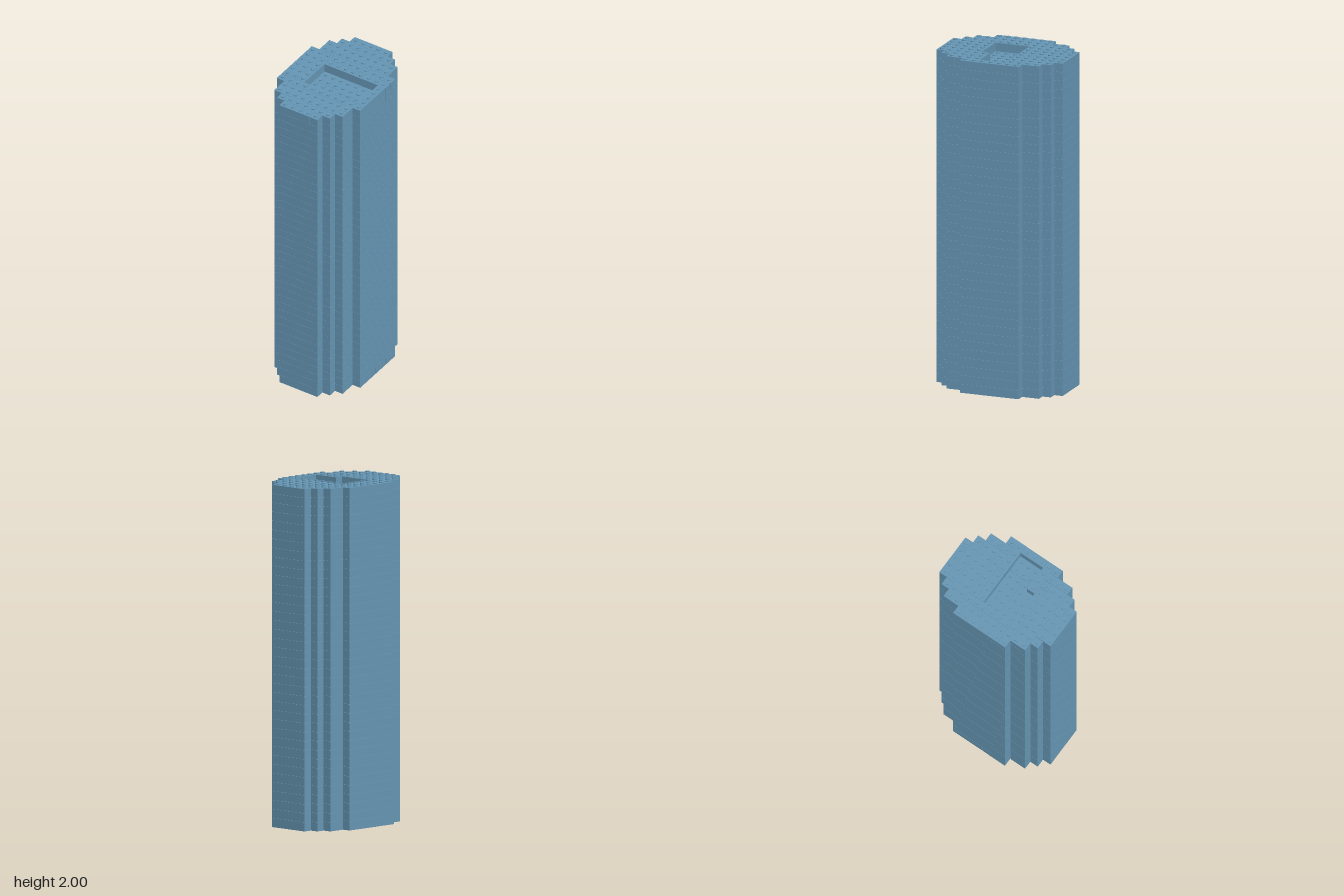
import * as THREE from 'three';
import { mergeGeometries } from 'three/addons/utils/BufferGeometryUtils.js';

const P = 0.0525;        // stud pitch
const STUD_H = 0.006;
const LAYERS = 38;
const H = (2 - STUD_H) / LAYERS;
const GAP = 0.001;       // hairline joint between bricks
const COLS = 11, ROWS = 15;

// A brick covers columns c0..c1 and rows r0..r1 of one layer.
function brick([c0, c1, r0, r1], layer) {
  const bottom = layer === 0 ? 0 : GAP;
  const h = H - bottom;
  const g = new THREE.BoxGeometry((c1 - c0) * P - GAP, h, (r1 - r0) * P - GAP);
  return g.translate(((c0 + c1) / 2 - COLS / 2) * P, layer * H + bottom + h / 2,
    ((r0 + r1) / 2 - ROWS / 2) * P);
}

// One stud on every cell of a brick.
function studs([c0, c1, r0, r1], layer) {
  const out = [];
  for (let c = c0; c < c1; c++) {
    for (let r = r0; r < r1; r++) {
      const g = new THREE.CylinderGeometry(0.012, 0.012, STUD_H, 16);
      out.push(g.translate((c + 0.5 - COLS / 2) * P, (layer + 1) * H + STUD_H / 2,
        (r + 0.5 - ROWS / 2) * P));
    }
  }
  return out;
}

// Stepped plan shared by all layers
const endBands = [
  [3, 8, 0, 1], [2, 9, 1, 2], [1, 10, 2, 4],
  [1, 10, 11, 13], [2, 9, 13, 14], [3, 8, 14, 15],
];
const plainLayer = [...endBands, [0, 11, 4, 11]];

// Bottom layer laid in long planks
const baseLayer = [...endBands, [0, 11, 4, 6], [0, 11, 6, 8], [0, 11, 8, 10], [0, 11, 10, 11]];

// Floor of the recess, one layer below the top
const floorBricks = [[3, 8, 6, 8], [3, 8, 8, 10], [8, 10, 6, 9]];
const floorLayer = [...endBands, ...floorBricks,
  [0, 11, 4, 6], [0, 3, 6, 10], [10, 11, 6, 9], [8, 11, 9, 10], [0, 11, 10, 11]];

// Top layer with its recess left open
const topLayer = [
  [3, 7, 0, 1], [7, 8, 0, 1], [2, 3, 1, 2], [3, 9, 1, 2], [1, 9, 2, 4], [9, 10, 2, 4],
  [0, 2, 4, 10], [2, 3, 4, 10], [3, 9, 4, 5], [9, 10, 4, 5], [10, 11, 4, 5],
  [3, 7, 5, 6], [7, 11, 5, 6], [10, 11, 6, 9], [7, 11, 9, 10],
  [0, 4, 10, 11], [4, 8, 10, 11], [8, 9, 10, 11], [9, 10, 10, 12], [10, 11, 10, 11],
  [1, 9, 11, 13], [9, 10, 12, 13],
  [2, 3, 13, 14], [3, 9, 13, 14], [3, 7, 14, 15], [7, 8, 14, 15],
];

export function createModel() {
  const model = new THREE.Group();
  model.name = 'brickTower';
  const blue = new THREE.MeshStandardMaterial({ color: 0x6696b4 });
  blue.name = 'dusty blue';

  const add = (name, geometries) => {
    const mesh = new THREE.Mesh(mergeGeometries(geometries), blue);
    mesh.name = name;
    model.add(mesh);
  };

  // Stacked layers
  for (let i = 0; i < LAYERS; i++) {
    let plan = plainLayer, name = 'wallLayer' + i;
    if (i === 0) { plan = baseLayer; name = 'baseLayer'; }
    if (i === LAYERS - 2) { plan = floorLayer; name = 'recessFloorLayer'; }
    if (i === LAYERS - 1) { plan = topLayer; name = 'topLayer'; }
    add(name, plan.map((b) => brick(b, i)));
  }

  // Exposed studs
  add('topStuds', topLayer.flatMap((b) => studs(b, LAYERS - 1)));
  add('recessStuds', floorBricks.flatMap((b) => studs(b, LAYERS - 2)));
  return model;
}
